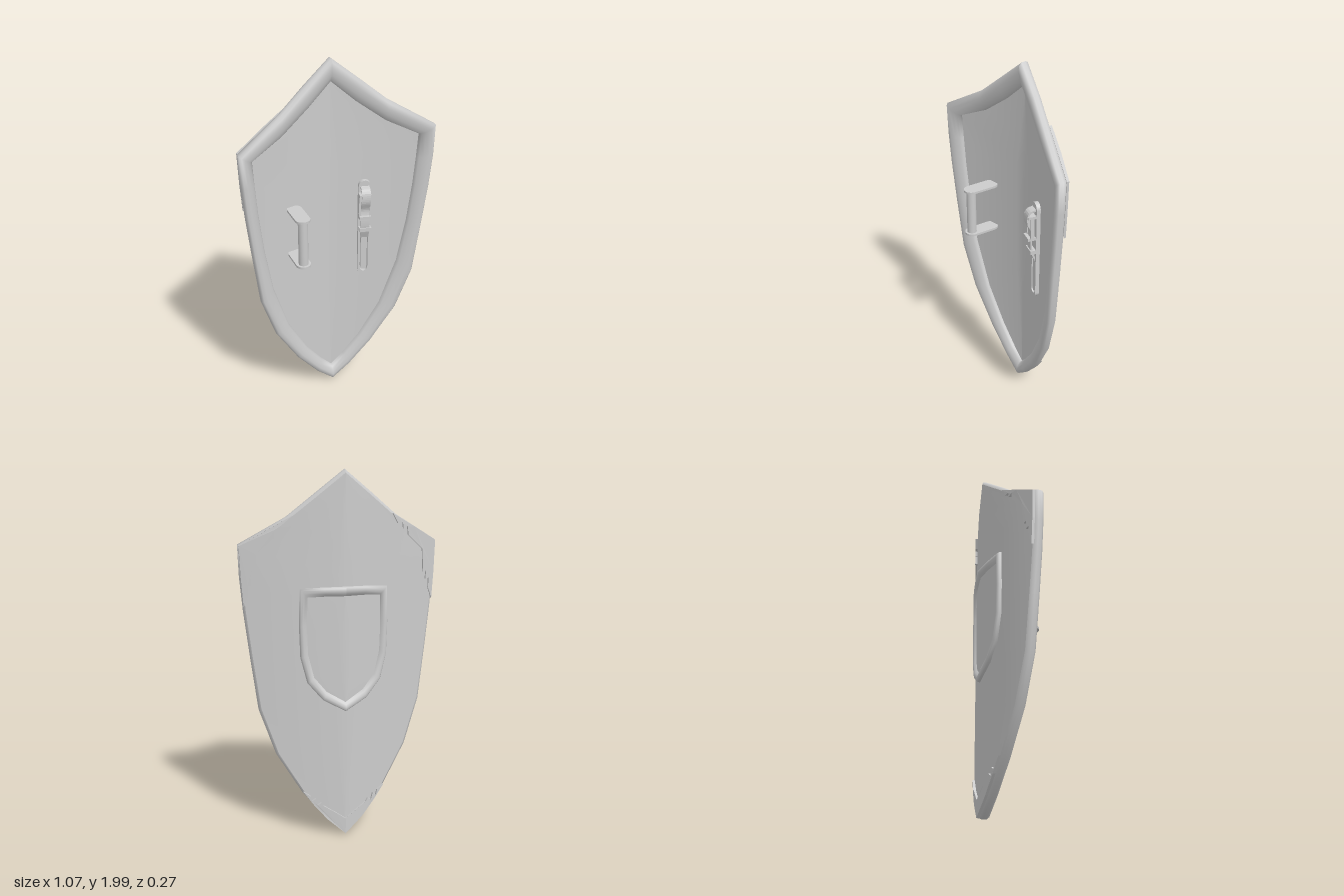
import * as THREE from 'three';

const MAT = new THREE.MeshStandardMaterial({ color: 0xcccccc, side: THREE.DoubleSide });

// Depth of the curved back face at a given x
const bend = (x) => -0.118 + 0.13 * Math.abs(x) + 0.22 * x * x;
const lerp = THREE.MathUtils.lerp;

// Smooth surface from a rule giving a point for every row and column
function grid(rows, cols, point, flip) {
  const pos = [], idx = [];
  for (let i = 0; i <= rows; i++) for (let j = 0; j <= cols; j++) pos.push(...point(i, j));
  for (let i = 0; i < rows; i++) for (let j = 0; j < cols; j++) {
    const a = i * (cols + 1) + j, b = a + cols + 1, c = a + 1, d = b + 1;
    idx.push(...(flip ? [a, c, b, c, d, b] : [a, b, c, c, b, d]));
  }
  const g = new THREE.BufferGeometry();
  g.setAttribute('position', new THREE.Float32BufferAttribute(pos, 3));
  g.setIndex(idx);
  g.computeVertexNormals();
  return g;
}

function add(parent, name, geometry, x = 0, y = 0, z = 0) {
  const m = new THREE.Mesh(geometry, MAT);
  m.name = name;
  m.position.set(x, y, z);
  parent.add(m);
  return m;
}

// Bent sheet filling a symmetric half outline, h in front of the back face
function sheet(half, h, flip) {
  const n = half.length - 1, C = 8;
  return grid(n, C * 2, (i, j) => {
    const t = (j - C) / C, [ox, oy] = half[i];
    const axisY = lerp(half[0][1], half[n][1], i / n);
    return [ox * t, lerp(axisY, oy, Math.abs(t)), bend(ox * t) + h];
  }, flip);
}

// Band between two half outlines, following a [fraction inward, height] section
function rim(outer, inner, section, flip) {
  const loop = (half) => [...half, ...half.slice(0, -1).reverse().map(([x, y]) => [-x, y])];
  const o = loop(outer), n = loop(inner);
  return grid(o.length - 1, section.length - 1, (i, j) => {
    const [f, h] = section[j];
    const x = lerp(o[i][0], n[i][0], f), y = lerp(o[i][1], n[i][1], f);
    return [x, y, bend(x) + h];
  }, flip);
}

// Thin plate laid on the back face
function backPlate(points, s) {
  const shape = new THREE.Shape(points.map(([x, y]) => new THREE.Vector2(x * s, y)));
  const g = new THREE.ExtrudeGeometry(shape, { depth: 0.014, bevelEnabled: false });
  const p = g.attributes.position;
  for (let i = 0; i < p.count; i++) p.setZ(i, bend(p.getX(i)) + p.getZ(i) - 0.012);
  g.computeVertexNormals();
  return g;
}

// Upright capsule outline
function capsule(r, y0, y1, Type = THREE.Shape) {
  const s = new Type();
  s.absarc(0, y1 - r, r, 0, Math.PI);
  s.absarc(0, y0 + r, r, Math.PI, Math.PI * 2);
  s.closePath();
  return s;
}

export function createModel() {
  const root = new THREE.Group();
  root.name = 'shield';

  // Body: back face, inner face and rounded rim
  const outer = [[0, 2], [0.15, 1.88], [0.29, 1.765], [0.535, 1.62], [0.53, 1.45], [0.515, 1.27],
    [0.487, 1.03], [0.45, 0.735], [0.365, 0.485], [0.23, 0.26], [0.1, 0.1], [0, 0.01]];
  const inner = [[0, 1.88], [0.13, 1.765], [0.285, 1.65], [0.46, 1.565], [0.452, 1.43], [0.44, 1.27],
    [0.415, 1.05], [0.37, 0.79], [0.28, 0.51], [0.165, 0.3], [0.07, 0.175], [0, 0.1]];
  const backEdge = outer.map(([x, y], i) => [lerp(x, inner[i][0], 0.15), lerp(y, inner[i][1], 0.15)]);
  add(root, 'backFace', sheet(backEdge, 0, true));
  add(root, 'innerFace', sheet(inner, 0.018, false));
  add(root, 'rim', rim(outer, inner,
    [[0.15, 0], [0.03, 0.006], [0, 0.02], [0.02, 0.04], [0.15, 0.054], [0.4, 0.058], [0.7, 0.052],
      [0.92, 0.04], [1, 0.03], [1, 0.016]], true));

  // Small raised shield on the back
  const bossOuter = [[0, 1.405], [0.12, 1.402], [0.235, 1.395], [0.24, 1.2], [0.235, 1.03],
    [0.2, 0.89], [0.12, 0.795], [0, 0.73]];
  const bossInner = [[0, 1.355], [0.1, 1.355], [0.195, 1.35], [0.2, 1.2], [0.195, 1.045],
    [0.165, 0.92], [0.1, 0.84], [0, 0.78]];
  add(root, 'bossRim', rim(bossOuter, bossInner,
    [[0, 0.002], [0.02, -0.012], [0.15, -0.02], [0.45, -0.021], [0.75, -0.015], [1, -0.003]], false));
  add(root, 'bossFace', sheet(bossInner, -0.003, true));

  // Jagged guards on the upper corners and the lower tip
  const corner = [[0.532, 1.617], [0.4, 1.695], [0.265, 1.772], [0.295, 1.72], [0.325, 1.72], [0.33, 1.69],
    [0.355, 1.7], [0.36, 1.655], [0.45, 1.575], [0.458, 1.45], [0.478, 1.455], [0.473, 1.41],
    [0.495, 1.415], [0.493, 1.36], [0.516, 1.3], [0.526, 1.45]];
  const tip = [[0, 0.015], [0.1, 0.105], [0.175, 0.195], [0.228, 0.27], [0.19, 0.245], [0.182, 0.215],
    [0.162, 0.23], [0.152, 0.19], [0.132, 0.205], [0.12, 0.185], [0.05, 0.14], [0, 0.105]];
  for (const s of [1, -1]) {
    const side = s > 0 ? 'left' : 'right';
    add(root, side + 'CornerGuard', backPlate(corner, s));
    add(root, side + 'TipGuard', backPlate(tip, s));
  }

  // Hand grip: upright bar between two round-ended brackets
  const grip = new THREE.Group();
  grip.name = 'handGrip';
  grip.position.x = -0.23;
  root.add(grip);
  add(grip, 'gripBar', new THREE.CylinderGeometry(0.026, 0.026, 0.27, 20), 0, 1.097, 0.092);
  for (const y of [0.97, 1.237]) {
    const bracket = new THREE.ExtrudeGeometry(capsule(0.04, -0.13, 0.07),
      { depth: 0.012, bevelEnabled: false, curveSegments: 10 });
    add(grip, 'gripBracket', bracket.rotateX(Math.PI / 2), 0, y, 0.06);
  }

  // Arm strap: slotted backing, arched belt and buckle
  const strap = new THREE.Group();
  strap.name = 'armStrap';
  strap.position.set(0.185, 0, bend(0.185) + 0.014);
  strap.rotation.y = -0.21;
  root.add(strap);
  const backing = capsule(0.034, 0.73, 1.315);
  backing.holes.push(capsule(0.022, 0.75, 1.02, THREE.Path));
  add(strap, 'strapBacking', new THREE.ExtrudeGeometry(backing,
    { depth: 0.026, bevelEnabled: false, curveSegments: 10 }));
  add(strap, 'strapTongue', new THREE.ExtrudeGeometry(capsule(0.017, 0.76, 1.06),
    { depth: 0.022, bevelEnabled: false, curveSegments: 10 }));
  const path = new THREE.CatmullRomCurve3([[1.28, 0.02], [1.265, 0.06], [1.21, 0.068], [1.15, 0.045],
    [1.09, 0.05], [1.03, 0.045], [0.97, 0.022]].map(([y, z]) => new THREE.Vector3(0, y, z)));
  const ribbon = new THREE.Shape([[-0.024, -0.005], [0.024, -0.005], [0.024, 0.005], [-0.024, 0.005]]
    .map(([x, y]) => new THREE.Vector2(x, y)));
  add(strap, 'belt', new THREE.ExtrudeGeometry(ribbon, { steps: 32, extrudePath: path }));
  for (const y of [1.11, 1.24]) {
    add(strap, 'buckleBar', new THREE.BoxGeometry(0.064, 0.016, 0.05), -0.003, y, 0.045);
  }
  for (const x of [-0.031, 0.025]) {
    add(strap, 'buckleSide', new THREE.BoxGeometry(0.01, 0.14, 0.02), x, 1.175, 0.045);
  }
  add(strap, 'beltKeeper', new THREE.BoxGeometry(0.066, 0.022, 0.045), 0, 1.03, 0.035);

  return root;
}
